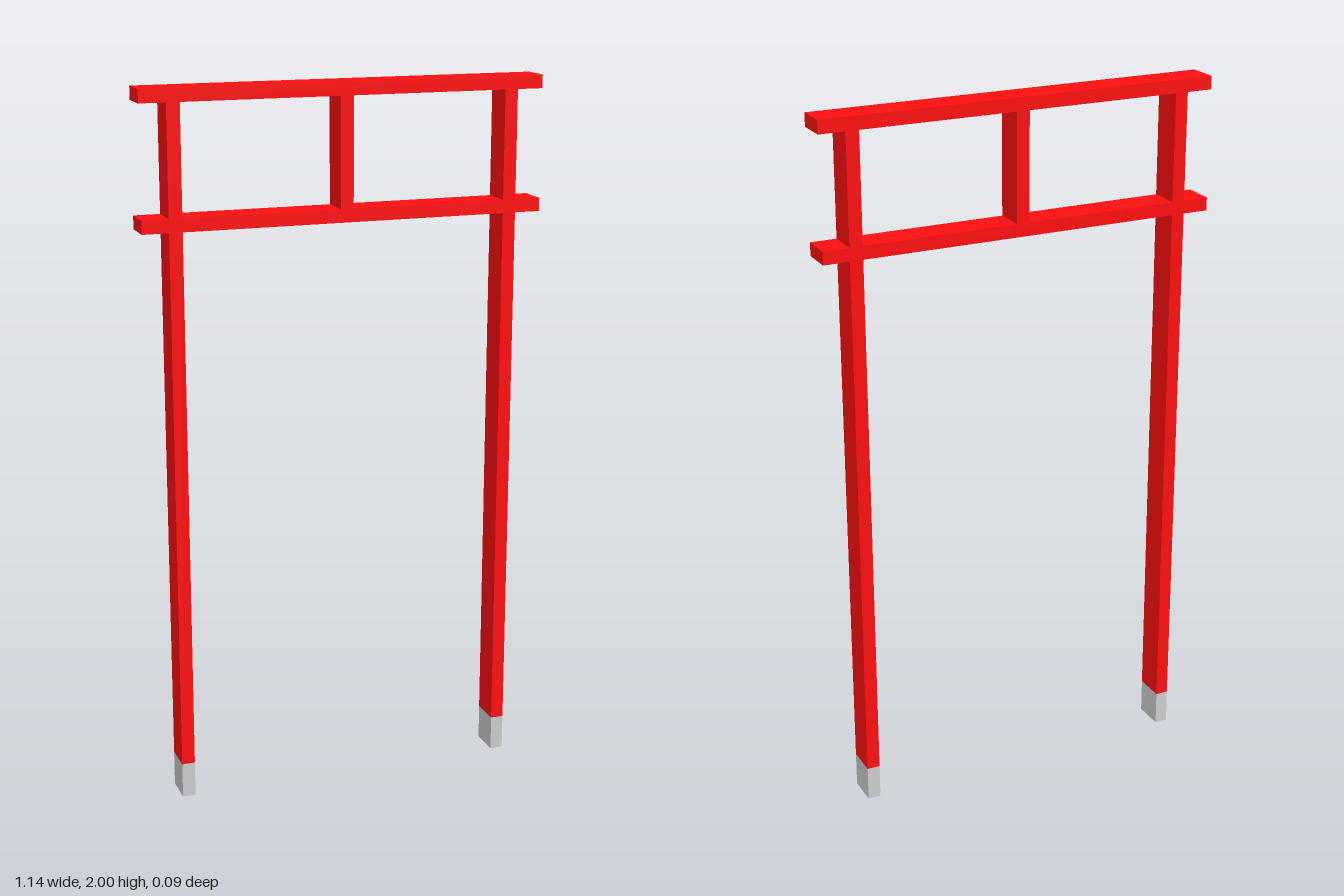
import * as THREE from 'three';

const T = 0.037;      // timber thickness
const DEPTH = 0.09;   // timber depth (z)
const SPAN = 1.14;    // beam length
const POST_X = 0.478; // post centre offset
const BASE_TOP = 0.1;
const TIE_BOTTOM = 1.623;
const TIE_TOP = TIE_BOTTOM + T;
const LINTEL_BOTTOM = 2 - T;

export function createModel() {
  const gate = new THREE.Group();
  gate.name = 'gate';
  const red = new THREE.MeshStandardMaterial({ color: 0xff1010 });
  const grey = new THREE.MeshStandardMaterial({ color: 0xcccccc });

  // Box centred on x, spanning y0 to y1
  function timber(name, x, width, y0, y1, material = red) {
    const mesh = new THREE.Mesh(new THREE.BoxGeometry(width, y1 - y0, DEPTH), material);
    mesh.name = name;
    mesh.position.set(x, (y0 + y1) / 2, 0);
    gate.add(mesh);
  }

  // Horizontal beams
  timber('topBeam', 0, SPAN, LINTEL_BOTTOM, 2);
  timber('tieBeam', 0, SPAN, TIE_BOTTOM, TIE_TOP);

  // Short strut between the beams
  timber('centreStrut', 0, T, TIE_TOP, LINTEL_BOTTOM);

  // Posts with grey footings, mirrored left and right
  for (const [side, s] of [['left', 1], ['right', -1]]) {
    timber(side + 'Footing', s * POST_X, T, 0, BASE_TOP, grey);
    timber(side + 'Post', s * POST_X, T, BASE_TOP, TIE_BOTTOM);
    timber(side + 'UpperPost', s * POST_X, T, TIE_TOP, LINTEL_BOTTOM);
  }
  return gate;
}
